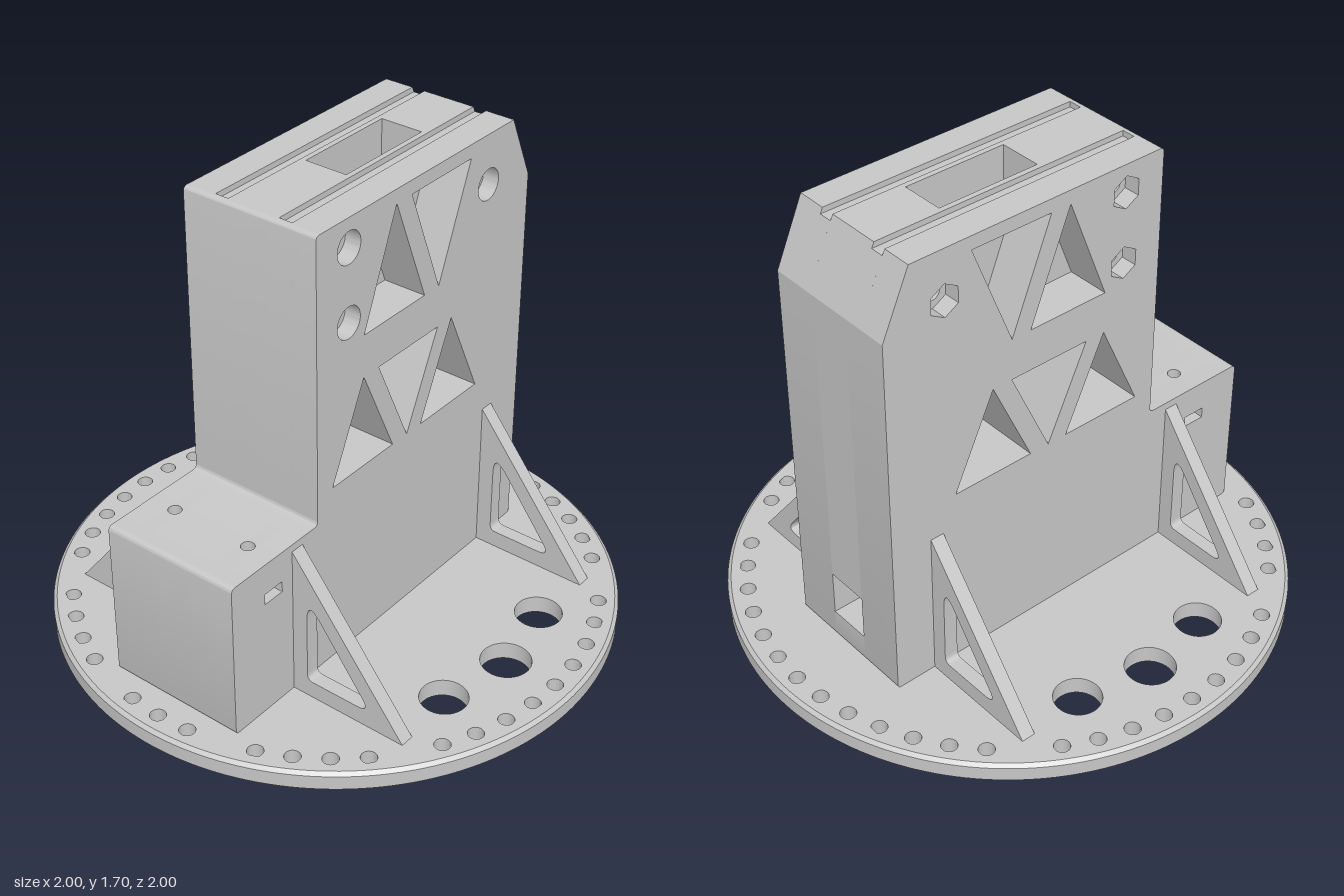
import * as THREE from 'three';
import { toCreasedNormals } from 'three/addons/utils/BufferGeometryUtils.js';

const BASE_H = 0.065, HALF_W = 0.26, CREASE = 0.3;

const circle = (x, y, r) => new THREE.Path().absarc(x, y, r, 0, Math.PI * 2, false);

const extrude = (shape, depth) =>
  new THREE.ExtrudeGeometry(shape, { depth, bevelEnabled: false, curveSegments: 24 });

// Closed counter-clockwise polygon with rounded corners; each corner is [x, y, radius]
function polygon(points, Type = THREE.Path) {
  const flat = points.map(([x, y]) => new THREE.Vector2(x, y));
  const corners = THREE.ShapeUtils.isClockWise(flat) ? [...points].reverse() : points;
  const path = new Type();
  const n = corners.length;
  corners.forEach(([x, y, r = 0], i) => {
    const p = new THREE.Vector2(x, y);
    const toward = (c) => new THREE.Vector2(c[0], c[1]).sub(p).setLength(r).add(p);
    const a = r ? toward(corners[(i + n - 1) % n]) : p;
    if (i) path.lineTo(a.x, a.y); else path.moveTo(a.x, a.y);
    if (r) {
      const b = toward(corners[(i + 1) % n]);
      path.quadraticCurveTo(x, y, b.x, b.y);
    }
  });
  path.closePath();
  return path;
}

// Side-on coordinates are [z, y]; the extrusion runs along x
const sidePolygon = (pts, Type) => polygon(pts.map(([z, y, r]) => [-z, y, r]), Type);

const LOWER_TRIANGLES = [
  [[0.343, 0.76], [0.027, 0.76], [0.185, 1.1]],
  [[0.108, 1.1], [-0.208, 1.1], [-0.05, 0.76]],
  [[-0.127, 0.76], [-0.443, 0.76], [-0.285, 1.1]],
];
const UPPER_TRIANGLES = [
  [[0.185, 1.255], [-0.13, 1.255], [0.028, 1.65]],
  [[-0.05, 1.65], [-0.365, 1.65], [-0.207, 1.255]],
];
const BOLTS = [[0.263, 1.597], [0.263, 1.336], [-0.47, 1.517]];

// One slice of the tower between x0 and x1, with the cut-outs that cross it
function towerSlice(x0, x1, cut) {
  const step = cut.screw
    ? [[0.664, 0.655], [0.664, 0.54], [0.685, 0.54], [0.685, 0.5], [0.6, 0.5], [0.6, 0.54], [0.616, 0.54], [0.616, 0.655]]
    : [];
  let top = [[-0.6, 1.7]];
  if (cut.groove) top = [[0.395, 1.7], [0.395, 1.68], [-0.609, 1.68]];
  if (cut.core) top = [[0.05, 1.7], [0.05, 1.25], [-0.34, 1.25], [-0.34, 1.7], [-0.6, 1.7]];
  const back = cut.core ? [[-0.705, 0.34], [-0.38, 0.34], [-0.38, 0.17], [-0.705, 0.17]] : [];
  const shape = sidePolygon([
    [0.84, BASE_H, 0.015], [0.84, 0.655, 0.02], ...step, [0.42, 0.655, 0.018], [0.42, 1.7, 0.018],
    ...top, [-0.705, 1.465], ...back, [-0.705, BASE_H, 0.015],
  ], THREE.Shape);
  const triangles = cut.upper ? [...LOWER_TRIANGLES, ...UPPER_TRIANGLES] : LOWER_TRIANGLES;
  triangles.forEach((t) => shape.holes.push(sidePolygon(t)));
  if (cut.slot) shape.holes.push(sidePolygon([[0.6, 0.5], [0.685, 0.5], [0.685, 0.54], [0.6, 0.54]]));
  BOLTS.forEach(([z, y]) => {
    if (cut.hex) {
      const corners = Array.from({ length: 6 }, (_, i) => {
        const a = (i * Math.PI) / 3;
        return [z + 0.06 * Math.sin(a), y + 0.06 * Math.cos(a)];
      });
      shape.holes.push(sidePolygon(corners));
    } else shape.holes.push(circle(-z, y, cut.bore ? 0.057 : 0.03));
  });
  return toCreasedNormals(extrude(shape, x1 - x0).rotateY(Math.PI / 2).translate(x0, 0, 0), CREASE);
}

// Round plate with a bevelled top rim, a bolt circle and six large holes
function basePlate() {
  const shape = new THREE.Shape().absarc(0, 0, 1, 0, Math.PI * 2, false);
  const skipped = [7, 17, 22];
  for (let k = 0; k < 48; k++) {
    if (skipped.includes(Math.min(k, 48 - k))) continue;
    const a = (k * Math.PI) / 24;
    shape.holes.push(circle(0.93 * Math.sin(a), 0.93 * Math.cos(a), 0.028));
  }
  for (const s of [-1, 1]) {
    shape.holes.push(circle(s * 0.732, 0, 0.088));
    for (const t of [-1, 1]) shape.holes.push(circle(s * 0.677, t * 0.28, 0.083));
  }
  const geo = new THREE.ExtrudeGeometry(shape, { depth: BASE_H, steps: 2, bevelEnabled: false, curveSegments: 96 });
  const p = geo.attributes.position;
  for (let i = 0; i < p.count; i++) {
    const z = p.getZ(i);
    if (z > BASE_H * 0.9 && Math.hypot(p.getX(i), p.getY(i)) > 0.98) {
      p.setXY(i, p.getX(i) * 0.987, p.getY(i) * 0.987);
    } else if (z > BASE_H * 0.4 && z < BASE_H * 0.6) p.setZ(i, 0.053);
  }
  return toCreasedNormals(geo.rotateX(-Math.PI / 2), 0.5);
}

export function createModel() {
  const model = new THREE.Group();
  const grey = new THREE.MeshStandardMaterial({ color: 0xc6c6c6 });
  grey.name = 'grey plastic';
  const add = (name, geo, parent = model) => {
    const mesh = new THREE.Mesh(geo, grey);
    mesh.name = name;
    parent.add(mesh);
  };

  add('basePlate', basePlate());

  // Tower: a hollow core slice and mirrored outer slices
  const tower = new THREE.Group();
  tower.name = 'tower';
  model.add(tower);
  add('towerCore', towerSlice(-0.08, 0.08, { core: true }), tower);
  const slices = [
    [0.08, 0.1, {}],
    [0.1, 0.131, { upper: true, groove: true, slot: true }],
    [0.131, 0.15, { upper: true, groove: true, screw: true }],
    [0.15, 0.179, { upper: true, screw: true }],
    [0.179, 0.2, { upper: true, slot: true }],
    [0.2, HALF_W, { upper: true, slot: true, bore: true }],
  ];
  for (const [a, b, cut] of slices) {
    add('towerSliceLeft', towerSlice(a, b, cut), tower);
    add('towerSliceRight', towerSlice(-b, -a, { ...cut, hex: cut.bore }), tower);
  }

  for (const s of [-1, 1]) {
    // Round screw hole in the top of the step
    const block = polygon([[-0.024, -0.024], [0.024, -0.024], [0.024, 0.024], [-0.024, 0.024]], THREE.Shape);
    block.holes.push(circle(0, 0, 0.0235));
    add('screwHole', toCreasedNormals(
      extrude(block, 0.115).rotateX(-Math.PI / 2).translate(s * 0.155, 0.54, 0.64), CREASE), tower);

    // Triangular gussets with a rounded window
    for (const z of [0.497, -0.549]) {
      const rib = polygon([[s * HALF_W, BASE_H], [s * 0.708, BASE_H], [s * HALF_W, 0.627]], THREE.Shape);
      rib.holes.push(polygon([[s * 0.318, 0.128, 0.025], [s * 0.578, 0.128, 0.055], [s * 0.318, 0.468, 0.09]]));
      add('gusset', toCreasedNormals(extrude(rib, 0.052).translate(0, 0, z), CREASE));
    }
  }
  return model;
}
